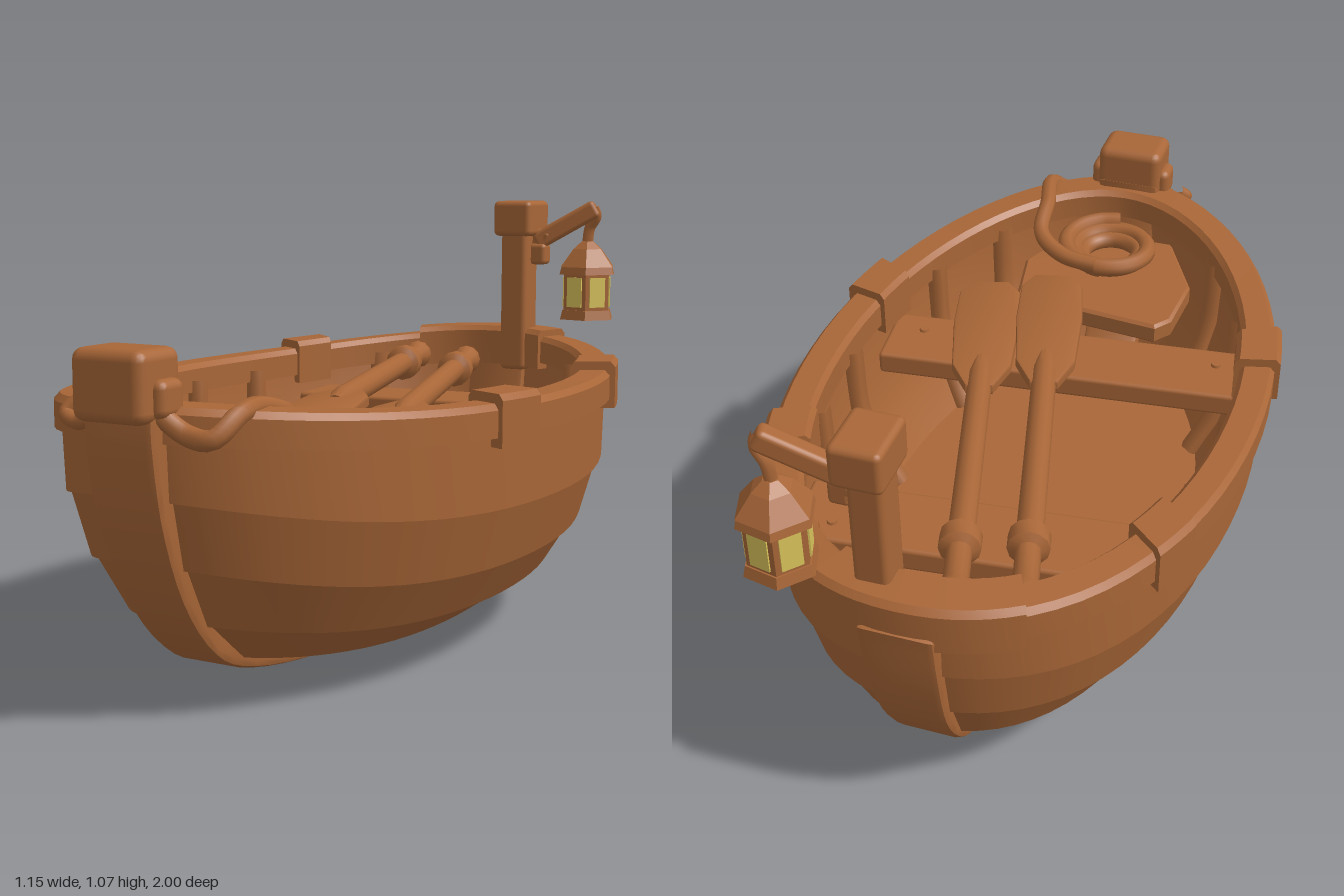
import * as THREE from 'three';
import { toCreasedNormals } from 'three/addons/utils/BufferGeometryUtils.js';
import { RoundedBoxGeometry } from 'three/addons/geometries/RoundedBoxGeometry.js';

const V = (x, y, z) => new THREE.Vector3(x, y, z);

// Point on a boat-shaped outline; angle 0 is the bow, PI the stern
function outline({ w, f, b, y, rise = 0 }, a) {
  const c = Math.cos(a), s = Math.sin(a);
  return V(w * Math.sign(s) * Math.abs(s) ** (c > 0 ? 1.04 : 0.92), y + rise * Math.abs(c) ** 3, (c > 0 ? f : b) * c);
}

// Skin over rows of points
function loft(rows) {
  const n = rows[0].length, index = [];
  for (let i = 0; i < rows.length - 1; i++)
    for (let j = 0; j < n - 1; j++) {
      const a = i * n + j, b = a + n;
      index.push(a, b, b + 1, a, b + 1, a + 1);
    }
  const g = new THREE.BufferGeometry().setFromPoints(rows.flat());
  g.setIndex(index);
  return toCreasedNormals(g, 0.6);
}

const SEG = 72;
const ring = (level) => Array.from({ length: SEG + 1 }, (_, j) => outline(level, (j % SEG) / SEG * Math.PI * 2));

// Cross-section of the top rail; grow thickens it for the clamps
const RAIL_OUT = { w: 0.573, f: 0.94, b: 0.93, y: 0 };
const RAIL_IN = { w: 0.487, f: 0.83, b: 0.835, y: 0 };
function railSection(a, grow) {
  const o = outline(RAIL_OUT, a), i = outline(RAIL_IN, a);
  const lift = 0.04 * Math.abs(Math.cos(a)) ** 3;
  const top = 0.655 + lift + grow, bottom = 0.58 + lift - grow, k = grow * 7;
  return [[1 + k, top - 0.014], [1 + k, bottom], [-k, bottom], [-k, top - 0.014], [0.14 - k, top], [0.86 + k, top], [1 + k, top - 0.014]]
    .map(([u, y]) => i.clone().lerp(o, u).setY(y));
}
function railBand(a0, a1, grow, steps, capped) {
  const cols = [];
  for (let j = 0; j <= steps; j++) cols.push(railSection(a0 + (a1 - a0) * j / steps, grow));
  if (capped) {
    const cap = (col) => col.map(() => col[0].clone().add(col[2]).multiplyScalar(0.5));
    cols.unshift(cap(cols[0]));
    cols.push(cap(cols[cols.length - 1]));
  }
  return loft(cols[0].map((_, i) => cols.map((col) => col[i])));
}

export function createModel() {
  const model = new THREE.Group();
  const wood = new THREE.MeshStandardMaterial({ color: 0xa86637 });
  wood.name = 'brown wood';
  const glow = new THREE.MeshStandardMaterial({ color: 0xdac45c });
  glow.name = 'yellow glass';

  const add = (name, geo, pos = [0, 0, 0], parent = model, mat = wood) => {
    const m = new THREE.Mesh(geo, mat);
    m.name = name;
    m.position.set(...pos);
    parent.add(m);
    return m;
  };
  const box = (name, size, pos, parent, r = 0.015) => add(name, new RoundedBoxGeometry(...size, 2, r), pos, parent);
  const tube = (name, pts, r, sides = 8) =>
    add(name, new THREE.TubeGeometry(new THREE.CatmullRomCurve3(pts), pts.length * 6, r, sides));

  // Overlapping hull planks, top to bottom
  const levels = [
    { w: 0.55, f: 0.93, b: 0.92, y: 0.61, rise: 0.04 },
    { w: 0.535, f: 0.91, b: 0.9, y: 0.41, rise: 0.09 },
    { w: 0.478, f: 0.86, b: 0.86, y: 0.26, rise: 0.09 },
    { w: 0.395, f: 0.775, b: 0.79, y: 0.15, rise: 0.06 },
    { w: 0.275, f: 0.64, b: 0.66, y: 0.075, rise: 0.03 },
    { w: 0.001, f: 0.45, b: 0.45, y: 0.045 },
  ];
  const hullRows = [];
  levels.forEach((l, i) => {
    if (i) hullRows.push(ring({ ...l, w: l.w + 0.011, f: l.f + 0.011, b: l.b + 0.011 }));
    hullRows.push(ring(l));
  });
  add('hullPlanks', loft(hullRows));

  // Inside of the hull, its floor and ribs
  const inner = [
    { w: 0, f: 0, b: 0, y: 0.2 },
    { w: 0.395, f: 0.75, b: 0.75, y: 0.2 },
    { w: 0.45, f: 0.81, b: 0.81, y: 0.29, rise: 0.05 },
    { w: 0.495, f: 0.86, b: 0.85, y: 0.42, rise: 0.06 },
    { w: 0.505, f: 0.87, b: 0.87, y: 0.61, rise: 0.04 },
  ];
  add('hullInside', loft(inner.map(ring)));
  for (const side of [1, -1])
    for (const a of [0.7, 1.05, 1.58, 1.88, 2.5])
      tube('rib', inner.slice(1).map((l) => outline({ ...l, w: l.w - 0.012, f: l.f - 0.012, b: l.b - 0.012 }, side * a)), 0.03, 6);

  // Rail, clamps and stern cap
  add('rail', railBand(0, Math.PI * 2, 0, SEG, false));
  for (const a of [1.3, 2.07, -1.3, -2.17])
    add('railClamp', railBand(a - 0.08, a + 0.08, 0.022, 4, true));
  add('sternCap', railBand(Math.PI - 0.3, Math.PI + 0.42, 0.018, 12, true));

  // Keel running up into stem and sternpost
  const keelCurve = new THREE.SplineCurve([[0.95, 0.7], [0.945, 0.6], [0.915, 0.45], [0.84, 0.28], [0.73, 0.15], [0.6, 0.085],
    [0.35, 0.04], [0, 0.018], [-0.35, 0.04], [-0.6, 0.08], [-0.74, 0.15], [-0.85, 0.3], [-0.905, 0.47], [-0.93, 0.62]]
    .map((p) => new THREE.Vector2(...p)));
  const outer = keelCurve.getPoints(48);
  const inside = outer.map((p) => new THREE.Vector2(p.x * 0.92, 0.68 + (p.y - 0.68) * 0.9)).reverse();
  const keel = new THREE.ExtrudeGeometry(new THREE.Shape([...outer, ...inside]),
    { depth: 0.13, bevelSize: 0.015, bevelThickness: 0.015, bevelSegments: 2 });
  keel.translate(0, 0, -0.065).rotateY(-Math.PI / 2);
  const keelPos = keel.attributes.position;
  for (let i = 0; i < keelPos.count; i++)
    keelPos.setX(i, keelPos.getX(i) * (0.88 + 0.2 * Math.min(1, keelPos.getY(i) / 0.5)));
  add('keel', toCreasedNormals(keel, 0.6));
  box('bowPostHead', [0.18, 0.15, 0.14], [0, 0.735, 0.93], model, 0.025);

  // Benches with pegs
  const bench = (z, length, turn, pegs) => {
    const g = new THREE.Group();
    g.name = 'bench';
    g.position.set(0, 0.515, z);
    g.rotation.y = turn;
    model.add(g);
    box('benchBoard', [length, 0.06, 0.2], [0, 0, 0], g, 0.01);
    for (const [x, z] of pegs) add('peg', new THREE.CylinderGeometry(0.012, 0.014, 0.01, 8), [x, 0.032, z], g);
  };
  bench(0.225, 0.94, 0.1, [[-0.4, 0.03], [0.38, 0.03]]);
  bench(-0.5, 0.8, 0.1, [[0.31, -0.04], [0.31, 0.05]]);

  // Small deck at the bow
  const deck = new THREE.ExtrudeGeometry(new THREE.Shape(
    [[-0.2, 0.41], [0.19, 0.45], [0.22, 0.62], [0.14, 0.82], [-0.14, 0.82], [-0.24, 0.62], [-0.23, 0.45]]
      .map((p) => new THREE.Vector2(...p))), { depth: 0.04, bevelSize: 0.008, bevelThickness: 0.008, bevelSegments: 1 });
  add('bowDeck', toCreasedNormals(deck.rotateX(Math.PI / 2), 0.5), [0, 0.55, 0]);

  // Coiled rope leading to the stem
  const coil = [];
  for (let i = 0; i <= 36; i++) {
    const a = i / 36 * Math.PI * 5, r = 0.07 + 0.055 * i / 36;
    coil.push(V(r * Math.sin(a), 0.58 + 0.045 * i / 36, 0.67 - r * Math.cos(a)));
  }
  tube('ropeCoil', coil, 0.024);
  tube('ropeLead', [V(0, 0.625, 0.545), V(0.1, 0.63, 0.56), V(0.18, 0.65, 0.62), V(0.2, 0.68, 0.74), V(0.225, 0.68, 0.86),
    V(0.2, 0.635, 0.92), V(0.14, 0.64, 0.92), V(0.08, 0.68, 0.93)], 0.022);
  tube('ropeTail', [V(-0.08, 0.69, 0.92), V(-0.12, 0.65, 0.93), V(-0.16, 0.665, 0.92), V(-0.14, 0.69, 0.9)], 0.018);
  for (const s of [-1, 1]) box('ropeKnot', [0.05, 0.08, 0.08], [s * 0.088, 0.71, 0.92], model, 0.02);

  // Oars: turned handle and flat blade, pointing along local z
  const handle = new THREE.LatheGeometry([[0, 0], [0.033, 0], [0.04, 0.015], [0.038, 0.04], [0.029, 0.06], [0.029, 0.165],
    [0.048, 0.175], [0.048, 0.22], [0.031, 0.23], [0.031, 0.86], [0.02, 0.93], [0, 0.93]].map((p) => new THREE.Vector2(...p)), 12);
  const handleGeo = toCreasedNormals(handle.rotateX(Math.PI / 2), 0.7);
  const bladeShape = new THREE.Shape([[-0.03, 0.8], [0.03, 0.8], [0.068, 0.89], [0.08, 1.1], [0.075, 1.25], [0.045, 1.3],
    [-0.045, 1.3], [-0.075, 1.25], [-0.08, 1.1], [-0.068, 0.89]].map((p) => new THREE.Vector2(...p)));
  const blade = new THREE.ExtrudeGeometry(bladeShape, { depth: 0.016, bevelSize: 0.007, bevelThickness: 0.007, bevelSegments: 2 });
  const bladeGeo = toCreasedNormals(blade.translate(0, 0, -0.008).rotateX(Math.PI / 2), 0.6);
  for (const [from, to] of [[V(-0.22, 0.625, -0.77), V(0.11, 0.59, 0.5)], [V(-0.075, 0.615, -0.8), V(0.27, 0.56, 0.44)]]) {
    const oar = new THREE.Group();
    oar.name = 'oar';
    oar.position.copy(from);
    oar.lookAt(to);
    model.add(oar);
    add('oarHandle', handleGeo, [0, 0, 0], oar);
    add('oarBlade', bladeGeo, [0, 0, 0], oar);
  }

  // Lantern post and arm
  box('lanternPost', [0.08, 0.42, 0.09], [0.067, 0.8, -0.845]);
  box('lanternPostHead', [0.115, 0.1, 0.145], [0.067, 1.027, -0.855], model, 0.015);
  box('armBracket', [0.05, 0.06, 0.05], [0.125, 0.925, -0.86], model, 0.012);
  const arm = box('arm', [0.2, 0.052, 0.045], [0.195, 1.008, -0.885], model, 0.012);
  arm.rotation.set(0, 0.3, 0.52);
  const brace = box('armBrace', [0.08, 0.045, 0.04], [0.125, 0.955, -0.865], model, 0.01);
  brace.rotation.z = 1.2;
  tube('hook', [V(0.27, 1.06, -0.905), V(0.276, 1.035, -0.912), V(0.256, 1.0, -0.915), V(0.25, 0.96, -0.915)], 0.016, 6);

  // Six-sided lantern
  const lantern = new THREE.Group();
  lantern.name = 'lantern';
  lantern.position.set(0.25, 0, -0.915);
  lantern.rotation.y = 0.33;
  model.add(lantern);
  const hex = (name, top, bottom, y0, y1) =>
    add(name, toCreasedNormals(new THREE.CylinderGeometry(top, bottom, y1 - y0, 6), 0.4), [0, (y0 + y1) / 2, 0], lantern);
  hex('lanternBase', 0.077, 0.084, 0.738, 0.765);
  hex('lanternBody', 0.073, 0.073, 0.76, 0.885);
  hex('lanternEave', 0.082, 0.088, 0.868, 0.89);
  hex('lanternRoof', 0.045, 0.085, 0.889, 0.94);
  hex('lanternCap', 0.018, 0.045, 0.94, 0.962);
  for (let k = 0; k < 6; k++) {
    const a = Math.PI / 6 + k * Math.PI / 3, d = 0.064;
    const pane = add('lanternPane', new THREE.BoxGeometry(0.048, 0.085, 0.006), [d * Math.sin(a), 0.817, d * Math.cos(a)], lantern, glow);
    pane.rotation.y = a;
  }
  return model;
}
